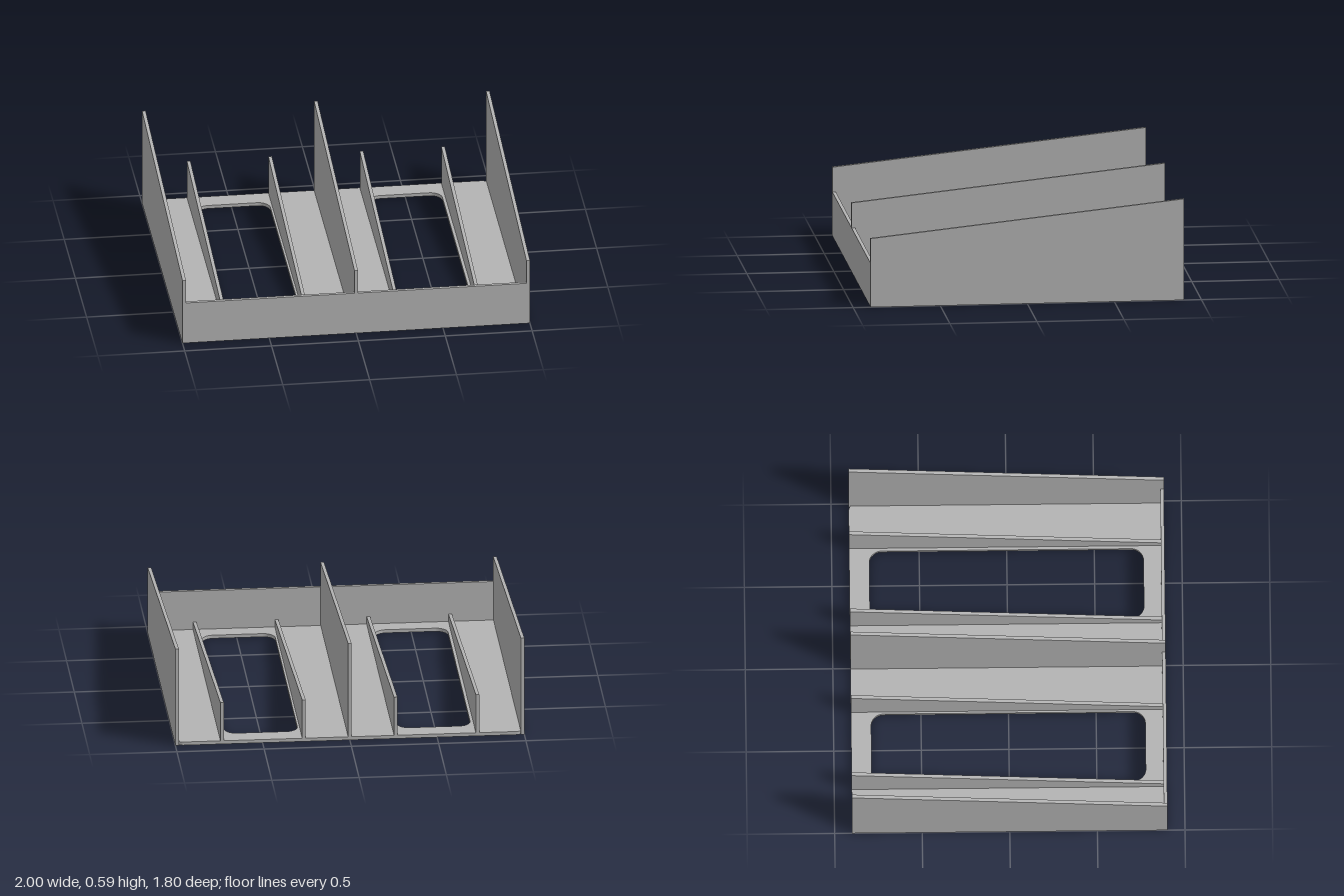
import * as THREE from 'three';

const T = 0.02; // sheet thickness
const BACK = -0.9, FRONT = 0.9;

// Rounded rectangle outline, used for the base and its cut-outs
function roundedRect(path, x0, y0, x1, y1, r) {
  path.moveTo(x0 + r, y0);
  path.lineTo(x1 - r, y0);
  path.absarc(x1 - r, y0 + r, r, -Math.PI / 2, 0, false);
  path.lineTo(x1, y1 - r);
  path.absarc(x1 - r, y1 - r, r, 0, Math.PI / 2, false);
  path.lineTo(x0 + r, y1);
  path.absarc(x0 + r, y1 - r, r, Math.PI / 2, Math.PI, false);
  path.lineTo(x0, y0 + r);
  path.absarc(x0 + r, y0 + r, r, Math.PI, Math.PI * 1.5, false);
  return path;
}

export function createModel() {
  const group = new THREE.Group();
  const grey = new THREE.MeshStandardMaterial({ color: 0xb3b3b3 });
  grey.name = 'grey';

  const add = (name, geometry) => {
    const mesh = new THREE.Mesh(geometry, grey);
    mesh.name = name;
    group.add(mesh);
    return mesh;
  };

  // Upright sheet with a top edge that falls towards the front
  const slopedSheet = (name, x, width, y0, backTop, frontTop, frontZ) => {
    const shape = new THREE.Shape([
      new THREE.Vector2(-frontZ, y0),
      new THREE.Vector2(-BACK, y0),
      new THREE.Vector2(-BACK, backTop),
      new THREE.Vector2(-frontZ, frontTop),
    ]);
    const g = new THREE.ExtrudeGeometry(shape, { depth: width, bevelEnabled: false });
    g.translate(0, 0, -width / 2).rotateY(Math.PI / 2);
    add(name, g).position.x = x;
  };

  // Base plate with two long rounded openings
  const base = roundedRect(new THREE.Shape(), -1, -FRONT, 1, -BACK, 0.05);
  for (const cx of [-0.495, 0.495]) {
    base.holes.push(roundedRect(new THREE.Path(), cx - 0.21, -0.78, cx + 0.21, 0.785, 0.07));
  }
  const baseGeo = new THREE.ExtrudeGeometry(base, { depth: T, bevelEnabled: false, curveSegments: 10 });
  add('basePlate', baseGeo.rotateX(-Math.PI / 2));

  // Low front wall
  add('frontWall', new THREE.BoxGeometry(2, 0.255, T)).position.set(0, 0.1275, FRONT - T / 2);

  // Tall side walls and centre divider
  slopedSheet('rightWall', -0.99, T, 0, 0.59, 0.4, FRONT);
  slopedSheet('leftWall', 0.99, T, 0, 0.59, 0.4, FRONT);
  slopedSheet('centreDivider', 0, T, T, 0.59, 0.4, FRONT);

  // Low ribs beside the openings
  for (const x of [-0.732, -0.263, 0.263, 0.732]) {
    slopedSheet('rib', x, T, T, 0.253, 0.065, FRONT - T);
  }
  return group;
}
